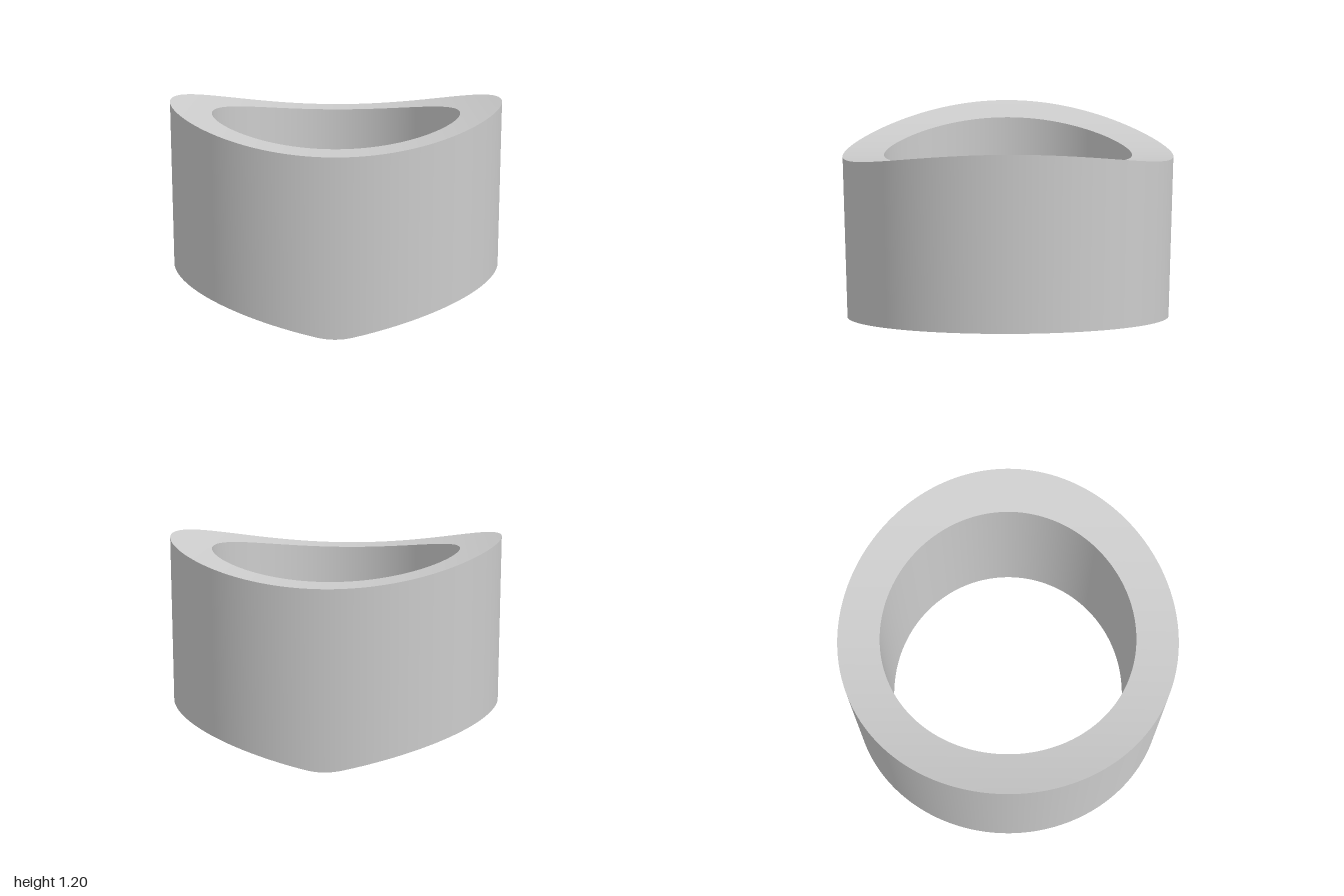
import * as THREE from 'three';

const INNER = 0.752, OUTER = 1, SEGMENTS = 240;

// Underside: shallow V along x with a rounded ridge
function bottomY(x) {
  const t = 0.1, slope = 0.2 / (1 - t / 2), a = Math.abs(x);
  return a < t ? slope * a * a / (2 * t) : slope * (a - t / 2);
}

// Top: saddle cut by a large cylinder lying along z
function topY(x) {
  const low = 1.02, rise = 0.178, R = (1 + rise * rise) / (2 * rise);
  return low + R - Math.sqrt(R * R - x * x);
}

// Revolves a straight profile, then bends heights 0..1 onto the two cuts
function wall(name, from, to, steps, material) {
  const points = [];
  for (let i = 0; i <= steps; i++) {
    points.push(new THREE.Vector2(...from).lerp(new THREE.Vector2(...to), i / steps));
  }
  const geometry = new THREE.LatheGeometry(points, SEGMENTS);
  const pos = geometry.attributes.position;
  for (let i = 0; i < pos.count; i++) {
    const x = pos.getX(i);
    pos.setY(i, THREE.MathUtils.lerp(bottomY(x), topY(x), pos.getY(i)));
  }
  // Upright walls keep their radial normals; the cut faces need new ones
  if (from[1] === to[1]) geometry.computeVertexNormals();
  const mesh = new THREE.Mesh(geometry, material);
  mesh.name = name;
  return mesh;
}

export function createModel() {
  const group = new THREE.Group();
  group.name = 'saddleCutRing';
  const material = new THREE.MeshStandardMaterial({ color: 0xcccccc });
  group.add(
    wall('undersideFace', [INNER, 0], [OUTER, 0], 8, material),
    wall('outerWall', [OUTER, 0], [OUTER, 1], 1, material),
    wall('topFace', [OUTER, 1], [INNER, 1], 8, material),
    wall('innerWall', [INNER, 1], [INNER, 0], 1, material)
  );
  return group;
}
